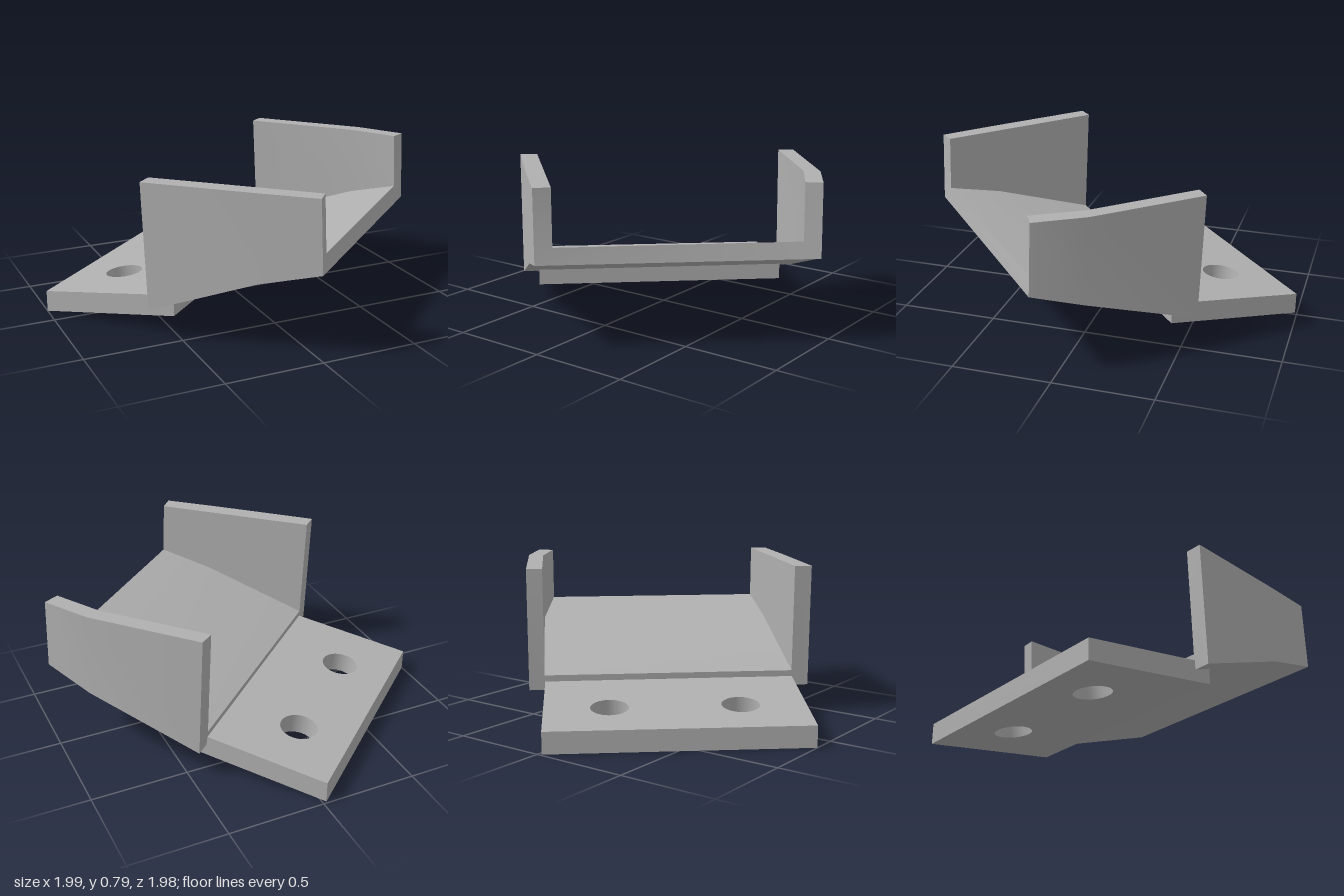
import * as THREE from 'three';
import { toCreasedNormals } from 'three/addons/utils/BufferGeometryUtils.js';

const TOP = 0.79; // height of the side wall tops
const FLOOR = 0.08; // thickness of the ramp floor

// Channel stations from back to front: outer and inner wall corners [x, z], underside height
const stations = [
  { outL: [-0.66, 0.39], inL: [-0.595, 0.33], inR: [0.375, -0.54], outR: [0.44, -0.59], y: 0.15 },
  { outL: [-0.25, 0.77], inL: [-0.18, 0.712], inR: [0.77, -0.11], outR: [0.845, -0.145], y: 0.352 },
  { outL: [-0.02, 0.975], inL: [0.035, 0.91], inR: [0.91, 0.123], outR: [0.984, 0.084], y: 0.428 },
];

// U-shaped section; the lower points lean slightly forward
function section({ outL, inL, inR, outR, y }) {
  const at = ([x, z], h) => new THREE.Vector3(x + 0.03 * (TOP - h), h, z + 0.034 * (TOP - h));
  const floor = y + FLOOR;
  return [
    at(outL, y), at(outR, y), at(outR, TOP), at(inR, TOP),
    at(inR, floor), at(inL, floor), at(inL, TOP), at(outL, TOP),
  ];
}

// Sloped channel: floor and both bent side walls in one loft
function channelGeometry() {
  const rings = stations.map(section);
  const pos = [];
  const quad = (a, b, c, d) => [a, b, c, a, c, d].forEach((p) => pos.push(p.x, p.y, p.z));
  for (let s = 0; s < rings.length - 1; s++) {
    const a = rings[s], b = rings[s + 1];
    for (let i = 0; i < 8; i++) {
      const j = (i + 1) % 8;
      quad(a[i], a[j], b[j], b[i]);
    }
  }
  // End faces
  const back = rings[0], front = rings[rings.length - 1];
  for (const [a, b, c, d] of [[0, 1, 4, 5], [1, 2, 3, 4], [0, 5, 6, 7]]) {
    quad(front[a], front[b], front[c], front[d]);
    quad(back[d], back[c], back[b], back[a]);
  }
  const geo = new THREE.BufferGeometry();
  geo.setAttribute('position', new THREE.Float32BufferAttribute(pos, 3));
  return toCreasedNormals(geo, 0.5);
}

// Tilted mounting plate with two round holes
function plateGeometry() {
  const corners = [[-1, -0.13], [-0.515, 0.425], [0.46, -0.44], [-0.02, -0.99]];
  const shape = new THREE.Shape(corners.map(([x, z]) => new THREE.Vector2(x, -z)));
  for (const [x, z] of [[-0.087, -0.573], [-0.573, -0.142]]) {
    shape.holes.push(new THREE.Path().absarc(x, -z, 0.095, 0, Math.PI * 2, true));
  }
  const geo = new THREE.ExtrudeGeometry(shape, { depth: 0.11, bevelEnabled: false, curveSegments: 32 });
  geo.rotateX(-Math.PI / 2);
  const p = geo.attributes.position;
  for (let i = 0; i < p.count; i++) {
    let x = p.getX(i), z = p.getZ(i);
    const v = 0.66 * x + 0.752 * z; // distance along the slope
    // Hole axes stay square to the tilted plate
    if (v > -0.7 && v < -0.1 && p.getY(i) < 0.05) {
      x += 0.01;
      z += 0.011;
    }
    const slope = 0.137 * (0.66 * x + 0.752 * z + 0.758);
    p.setXYZ(i, x, Math.max(0, p.getY(i) + slope), z);
  }
  return toCreasedNormals(geo, 0.5);
}

export function createModel() {
  const grey = new THREE.MeshStandardMaterial({ color: 0xb0b0b0 });
  grey.name = 'grey';
  const model = new THREE.Group();
  model.name = 'bracket';
  const add = (name, geometry) => {
    const mesh = new THREE.Mesh(geometry, grey);
    mesh.name = name;
    model.add(mesh);
  };
  add('channel', channelGeometry());
  add('mountingPlate', plateGeometry());
  return model;
}
